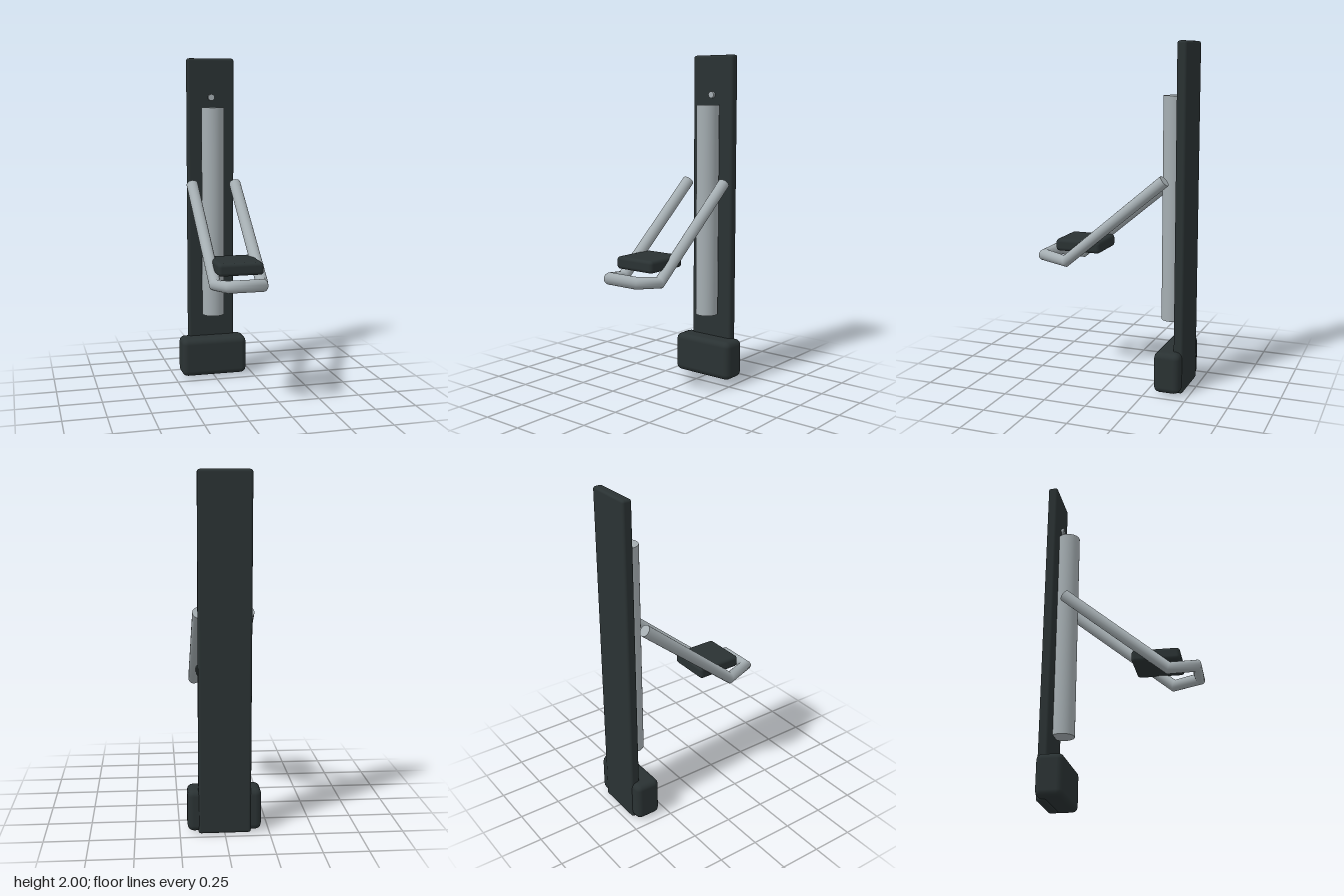
import * as THREE from 'three';
import { RoundedBoxGeometry } from 'three/addons/geometries/RoundedBoxGeometry.js';

const dark = new THREE.MeshStandardMaterial({ color: 0x2a3233 });
const metal = new THREE.MeshStandardMaterial({ color: 0xa5aeb2 });

// Straight-sided path; at a corner the tangent bisects the two legs
class BentPath extends THREE.Curve {
  constructor(points) {
    super();
    this.points = points;
  }
  getPointAt(u, target = new THREE.Vector3()) {
    const s = u * (this.points.length - 1);
    const i = Math.min(Math.floor(s), this.points.length - 2);
    return target.lerpVectors(this.points[i], this.points[i + 1], s - i);
  }
  getPoint(u, target) {
    return this.getPointAt(u, target);
  }
  direction(i) {
    const k = THREE.MathUtils.clamp(i, 0, this.points.length - 2);
    return this.points[k + 1].clone().sub(this.points[k]).normalize();
  }
  getTangentAt(u, target = new THREE.Vector3()) {
    const i = Math.round(u * (this.points.length - 1));
    return target.copy(this.direction(i - 1)).add(this.direction(i)).normalize();
  }
}

function add(group, name, geometry, material, x = 0, y = 0, z = 0) {
  const mesh = new THREE.Mesh(geometry, material);
  mesh.name = name;
  mesh.position.set(x, y, z);
  group.add(mesh);
  return mesh;
}

export function createModel() {
  const model = new THREE.Group();
  model.name = 'wallMountedSeat';

  // Tall back panel and the foot block around its lower end
  add(model, 'backPanel', new RoundedBoxGeometry(0.294, 2, 0.058, 2, 0.015), dark, 0, 1, -0.429);
  add(model, 'footBlock', new RoundedBoxGeometry(0.414, 0.24, 0.156, 2, 0.035), dark, 0, 0.13, -0.375);

  // Vertical column and the small knob above it
  add(model, 'column', new THREE.CylinderGeometry(0.069, 0.069, 1.3, 32), metal, 0, 1.05, -0.354);
  const knob = add(model, 'knob', new THREE.CylinderGeometry(0.02, 0.02, 0.03, 16), metal, 0, 1.762, -0.398);
  knob.rotation.x = Math.PI / 2;

  // Seat pad held between the arms
  add(model, 'seat', new RoundedBoxGeometry(0.264, 0.072, 0.278, 2, 0.02), dark, 0, 0.816, 0.199);

  // One bent tube forms both arms and the front footrest
  const half = [[0.136, 1.232, -0.335], [0.136, 0.724, 0.272], [0.098, 0.742, 0.427]];
  const path = [
    ...half.map(([x, y, z]) => new THREE.Vector3(-x, y, z)),
    ...half.map(([x, y, z]) => new THREE.Vector3(x, y, z)).reverse(),
  ];
  const radius = 0.035;
  const frame = new THREE.Group();
  frame.name = 'armFrame';
  model.add(frame);
  add(frame, 'frameTube', new THREE.TubeGeometry(new BentPath(path), path.length - 1, radius, 20), metal);

  // Flat caps on the open upper ends
  for (const [end, next] of [[path[0], path[1]], [path[5], path[4]]]) {
    const cap = add(frame, 'armCap', new THREE.CircleGeometry(radius, 20), metal, ...end.toArray());
    cap.lookAt(end.clone().multiplyScalar(2).sub(next));
  }

  return model;
}
